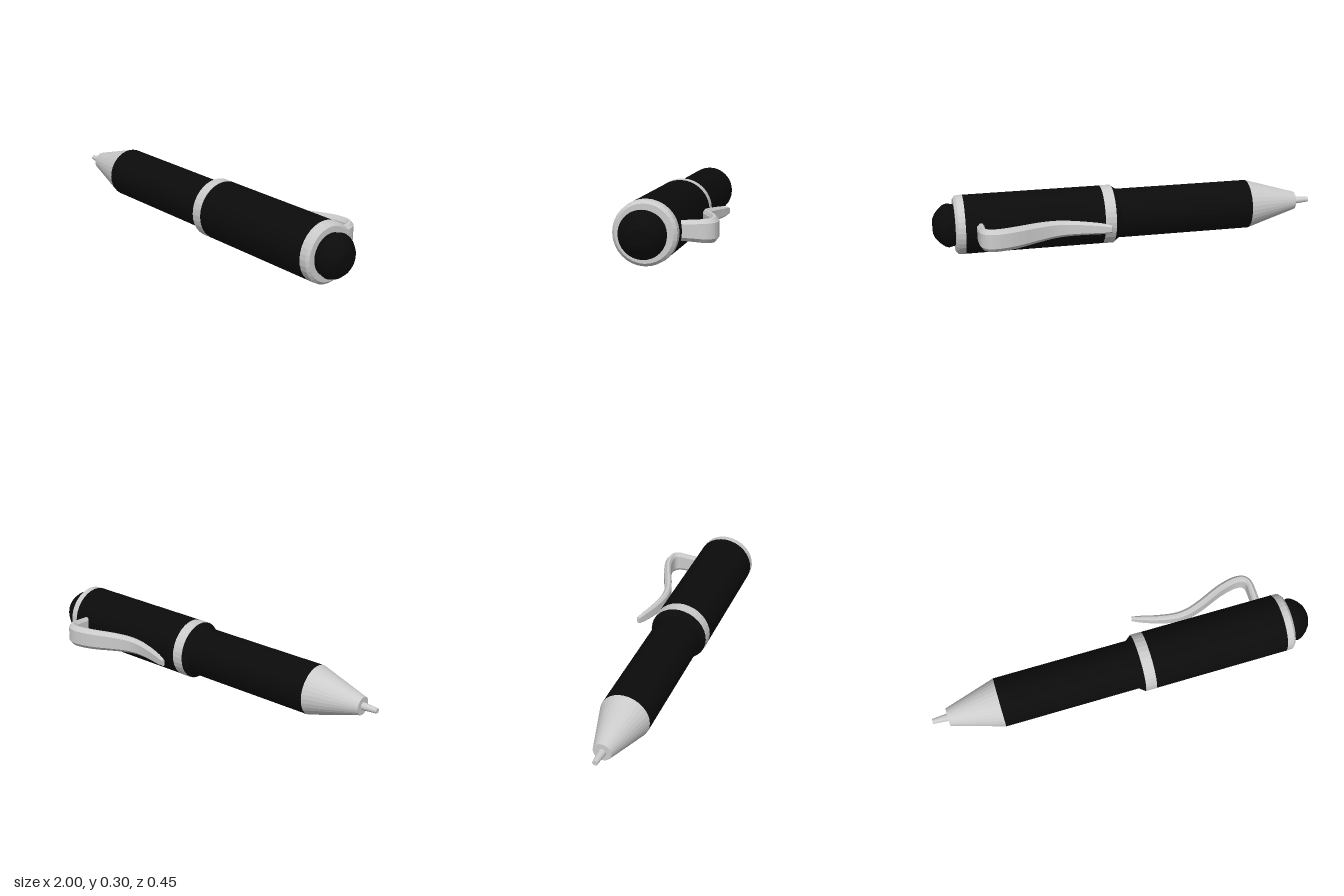
import * as THREE from 'three';

const AXIS_Y = 0.153, AXIS_Z = 0.073, SIDES = 32;

const material = (color) =>
  new THREE.MeshStandardMaterial({ color, flatShading: true });

// Turned part: profile of [x, radius] pairs, running from the tip to the button
function turned(name, profile, color) {
  const points = profile.map(([x, r]) => new THREE.Vector2(r, x));
  const mesh = new THREE.Mesh(new THREE.LatheGeometry(points, SIDES), material(color));
  mesh.name = name;
  mesh.rotation.z = -Math.PI / 2;
  mesh.position.set(0, AXIS_Y, AXIS_Z);
  return mesh;
}

// Clip: a bevelled section swept along a curve [x, z, halfWidth, halfThickness]
function clipGeometry(stations, steps) {
  const curve = new THREE.CatmullRomCurve3(stations.map(([x, z]) => new THREE.Vector3(x, 0, z)));
  const sizes = new THREE.CatmullRomCurve3(stations.map(([, , w, t]) => new THREE.Vector3(w, t, 0)));
  // [across thickness, across width]
  const section = [[1, -0.65], [1, 0.65], [0.2, 1], [-0.5, 1],
    [-1, 0.7], [-1, -0.7], [-0.5, -1], [0.2, -1]];
  const n = section.length, positions = [], index = [];
  for (let i = 0; i <= steps; i++) {
    const p = curve.getPoint(i / steps), d = curve.getTangent(i / steps), s = sizes.getPoint(i / steps);
    for (const [u, v] of section) {
      positions.push(p.x - d.z * u * s.y, AXIS_Y + v * s.x, p.z + d.x * u * s.y);
    }
  }
  for (let i = 0; i < steps; i++) {
    for (let j = 0; j < n; j++) {
      const a = i * n + j, b = i * n + (j + 1) % n;
      index.push(a, a + n, b, b, a + n, b + n);
    }
  }
  // End caps
  const last = steps * n;
  for (let j = 1; j < n - 1; j++) {
    index.push(0, j, j + 1, last, last + j + 1, last + j);
  }
  const geometry = new THREE.BufferGeometry();
  geometry.setAttribute('position', new THREE.Float32BufferAttribute(positions, 3));
  geometry.setIndex(index);
  geometry.computeVertexNormals();
  return geometry;
}

export function createModel() {
  const pen = new THREE.Group();
  pen.name = 'pen';
  const black = 0x0b0b0b, grey = 0xcccccc;

  pen.add(
    turned('writingTip', [[-1, 0], [-1, 0.013], [-0.915, 0.02]], grey),
    turned('noseCone', [[-0.92, 0], [-0.92, 0.046], [-0.65, 0.127]], grey),
    turned('lowerBarrel', [[-0.65, 0.127], [0.055, 0.127], [0.083, 0.149]], black),
    turned('middleRing', [[0.083, 0.149], [0.083, 0.151], [0.14, 0.151], [0.14, 0.149]], grey),
    turned('upperBarrel', [[0.14, 0.15], [0.845, 0.15]], black),
    turned('endRing', [[0.845, 0.149], [0.845, 0.151], [0.88, 0.149], [0.893, 0.135], [0.893, 0.09]], grey),
    turned('pushButton', [[0.89, 0.104], [0.925, 0.112], [0.945, 0.105], [0.97, 0.085],
      [0.99, 0.06], [1, 0.036], [1, 0]], black),
  );

  // Pocket clip on the back of the cap
  const clip = new THREE.Mesh(clipGeometry([
    [0.772, -0.06, 0.046, 0.019], [0.772, -0.13, 0.05, 0.018], [0.768, -0.178, 0.054, 0.017],
    [0.745, -0.204, 0.056, 0.018], [0.695, -0.209, 0.056, 0.019], [0.61, -0.188, 0.055, 0.019],
    [0.5, -0.142, 0.05, 0.019], [0.42, -0.116, 0.045, 0.018], [0.35, -0.111, 0.04, 0.017],
    [0.25, -0.13, 0.033, 0.015], [0.17, -0.155, 0.027, 0.012], [0.125, -0.17, 0.018, 0.008],
  ], 33), material(grey));
  clip.name = 'pocketClip';
  pen.add(clip);

  return pen;
}
